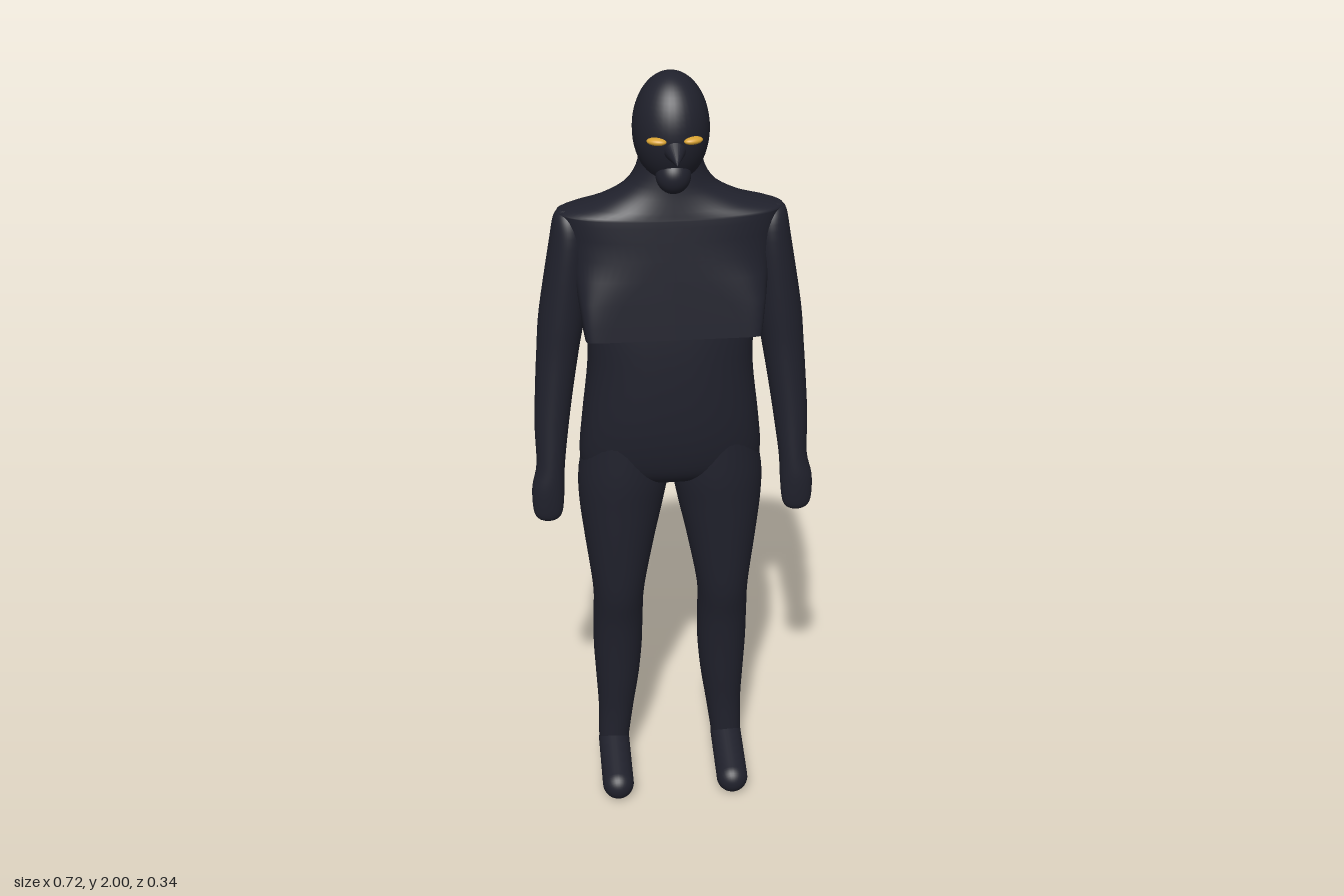
import * as THREE from 'three';

const suit = new THREE.MeshStandardMaterial({ name: 'midnight suit', color: 0x20212c });
const gold = new THREE.MeshStandardMaterial({ name: 'gold eyes', color: 0xd8a232 });

// Catmull-Rom subdivision of a list of cross-section rows
function refine(rows, steps) {
  const out = [];
  for (let i = 0; i < rows.length - 1; i++) {
    const p = [rows[Math.max(i - 1, 0)], rows[i], rows[i + 1], rows[Math.min(i + 2, rows.length - 1)]];
    for (let s = 0; s < steps; s++) {
      const t = s / steps;
      out.push(rows[i].map((_, k) => {
        const [a, b, c, d] = p.map((r) => r[k]);
        return 0.5 * (2 * b + (c - a) * t + (2 * a - 5 * b + 4 * c - d) * t * t + (3 * b - a - 3 * c + d) * t ** 3);
      }));
    }
  }
  out.push(rows[rows.length - 1]);
  return out;
}

// Closed loft through horizontal slices, top to bottom.
// Row: [y, centreX, halfWidth, zFront, zBack, roundness (2 = ellipse), tilt]
function loft(rows, steps = 4, N = 48) {
  const rings = refine(rows, steps);
  const pos = [], idx = [];
  const sp = (v, n) => Math.sign(v) * Math.abs(v) ** (2 / n);
  const ring = ([y, cx, rx, zf, zb, n = 2, tilt = 0]) => {
    for (let j = 0; j < N; j++) {
      const a = (j / N) * Math.PI * 2;
      const z = (zf + zb) / 2 + sp(Math.sin(a), n) * (zf - zb) / 2;
      pos.push(cx + sp(Math.cos(a), n) * rx, y + tilt * z, z);
    }
  };
  rings.forEach(ring);
  for (let i = 0; i < rings.length - 1; i++) {
    for (let j = 0; j < N; j++) {
      const a = i * N + j, b = i * N + (j + 1) % N;
      idx.push(a, b, a + N, b, b + N, a + N);
    }
  }
  // separate end caps keep the rims crisp
  [rings[0], rings[rings.length - 1]].forEach((r, end) => {
    const base = pos.length / 3;
    ring(r);
    const zc = (r[3] + r[4]) / 2;
    pos.push(r[1], r[0] + (r[6] || 0) * zc, zc);
    for (let j = 0; j < N; j++) {
      const a = base + j, b = base + (j + 1) % N;
      if (end) idx.push(base + N, a, b);
      else idx.push(base + N, b, a);
    }
  });
  const g = new THREE.BufferGeometry();
  g.setAttribute('position', new THREE.Float32BufferAttribute(pos, 3));
  g.setIndex(idx);
  g.computeVertexNormals();
  return g;
}

export function createModel() {
  const model = new THREE.Group();
  model.name = 'cowledFigure';
  const add = (name, geo, mat = suit) => {
    const m = new THREE.Mesh(geo, mat);
    m.name = name;
    model.add(m);
    return m;
  };
  const ball = (name, x, y, z, sx, sy, sz, mat) => {
    const m = add(name, new THREE.SphereGeometry(1, 40, 28), mat);
    m.position.set(x, y, z);
    m.scale.set(sx, sy, sz);
    return m;
  };

  // Head, chin and pointed nose
  ball('head', 0, 1.865, 0.001, 0.092, 0.135, 0.108);
  ball('chin', 0, 1.768, 0.062, 0.042, 0.045, 0.042);
  const nose = add('nose', new THREE.ConeGeometry(0.036, 0.085, 24));
  nose.position.set(0, 1.835, 0.119);
  nose.rotation.x = Math.PI / 2 + 0.25;

  // Short cape: round at the neck, boxy at the hem
  add('cape', loft([
    [1.81, 0, 0.074, 0.055, -0.08, 2, 0],
    [1.765, 0, 0.083, 0.062, -0.086, 2, 0],
    [1.72, 0, 0.115, 0.068, -0.094, 2, 0],
    [1.685, 0, 0.185, 0.074, -0.1, 2.1, 0],
    [1.662, 0, 0.268, 0.078, -0.106, 2.3, 0],
    [1.64, 0, 0.265, 0.081, -0.111, 2.5, 0.01],
    [1.5, 0, 0.238, 0.095, -0.139, 4, 0.08],
    [1.341, 0, 0.216, 0.11, -0.173, 16, 0.18],
  ], 3, 64));

  // Torso tapering into the hips
  add('torso', loft([
    [1.6, 0, 0.17, 0.07, -0.1, 2.4],
    [1.4, 0, 0.205, 0.095, -0.135, 2.6],
    [1.25, 0, 0.207, 0.105, -0.145, 2.5],
    [1.1, 0, 0.224, 0.105, -0.14, 2.4],
    [1.0, 0, 0.232, 0.092, -0.132, 2.3],
    [0.95, 0, 0.215, 0.07, -0.11, 2.2],
    [0.925, 0, 0.15, 0.035, -0.07, 2],
    [0.915, 0, 0.02, -0.01, -0.02, 2],
  ]));

  for (const s of [1, -1]) {
    const side = s > 0 ? 'left' : 'right';

    // Leg from hip to ankle
    add(side + 'Leg', loft([
      [1.06, 0.115 * s, 0.1, 0.085, -0.12],
      [0.95, 0.12 * s, 0.116, 0.088, -0.127],
      [0.86, 0.127 * s, 0.109, 0.083, -0.117],
      [0.75, 0.133 * s, 0.091, 0.077, -0.097],
      [0.6, 0.138 * s, 0.068, 0.066, -0.073],
      [0.5, 0.14 * s, 0.066, 0.046, -0.09],
      [0.4, 0.141 * s, 0.065, 0.034, -0.1],
      [0.3, 0.143 * s, 0.058, 0.025, -0.092],
      [0.2, 0.148 * s, 0.048, 0.016, -0.08],
      [0.11, 0.155 * s, 0.042, 0.015, -0.067],
      [0.07, 0.156 * s, 0.037, 0.015, -0.052],
      [0.045, 0.156 * s, 0.012, 0.005, -0.025],
    ]));

    // Foot
    const heel = new THREE.Vector3(0.156 * s, 0.086, -0.022);
    const toe = new THREE.Vector3(0.156 * s, 0.044, 0.129);
    const foot = add(side + 'Foot', new THREE.CapsuleGeometry(0.042, heel.distanceTo(toe), 10, 28));
    foot.position.copy(heel).lerp(toe, 0.5);
    foot.quaternion.setFromUnitVectors(new THREE.Vector3(0, 1, 0), toe.clone().sub(heel).normalize());

    // Arm and closed hand
    add(side + 'Arm', loft([
      [1.665, 0.247 * s, 0.022, 0.01, -0.03],
      [1.645, 0.247 * s, 0.036, 0.032, -0.055],
      [1.58, 0.247 * s, 0.048, 0.047, -0.073],
      [1.4, 0.268 * s, 0.057, 0.052, -0.075],
      [1.3, 0.281 * s, 0.053, 0.053, -0.062],
      [1.2, 0.293 * s, 0.048, 0.059, -0.046],
      [1.1, 0.303 * s, 0.043, 0.068, -0.026],
      [1.0, 0.309 * s, 0.036, 0.079, 0.004],
      [0.94, 0.317 * s, 0.041, 0.084, 0.02],
      [0.88, 0.319 * s, 0.038, 0.082, 0.036],
      [0.855, 0.319 * s, 0.028, 0.077, 0.045],
      [0.845, 0.319 * s, 0.008, 0.066, 0.056],
    ]));

    // Narrow eye
    const eye = ball(side + 'Eye', 0.043 * s, 1.865, 0.1, 0.024, 0.009, 0.014, gold);
    eye.rotation.y = 0.4 * s;
  }
  return model;
}
